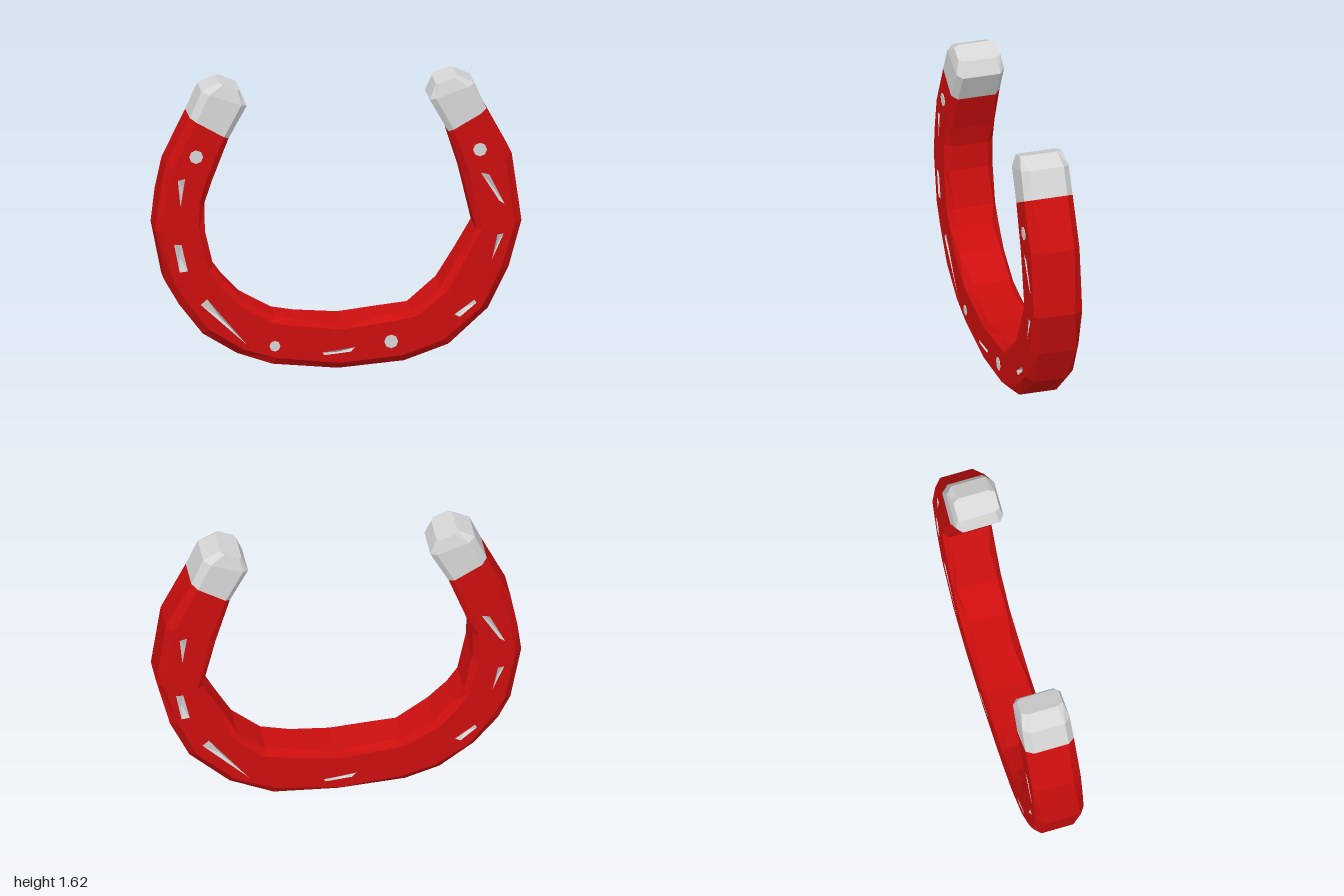
import * as THREE from 'three';

const red = new THREE.MeshStandardMaterial({ color: 0xcc0e0e, flatShading: true });
red.name = 'red paint';
const steel = new THREE.MeshStandardMaterial({ color: 0xd6d6d6, flatShading: true, side: THREE.DoubleSide });
steel.name = 'bare steel';

const HALF = 0.137; // half thickness of the magnet

// stations along the U: outer x, outer y, inner x, inner y
const bodyStations = [
  [-0.81, 1.43, -0.60, 1.31], [-0.94, 1.17, -0.69, 1.08], [-0.975, 0.99, -0.73, 0.95],
  [-1.0, 0.81, -0.73, 0.80], [-0.94, 0.51, -0.68, 0.59], [-0.87, 0.39, -0.62, 0.51],
  [-0.74, 0.22, -0.52, 0.40], [-0.55, 0.10, -0.34, 0.30], [-0.36, 0.04, -0.22, 0.285],
  [0, 0, 0.02, 0.26], [0.36, 0.03, 0.24, 0.29], [0.60, 0.12, 0.40, 0.31],
  [0.82, 0.31, 0.56, 0.44], [0.93, 0.54, 0.66, 0.61], [1.0, 0.80, 0.75, 0.76],
  [0.95, 1.17, 0.68, 1.06], [0.81, 1.43, 0.60, 1.31],
];
const leftTip = [[-0.65, 1.62, -0.535, 1.575], [-0.745, 1.575, -0.50, 1.49], bodyStations[0]];
const rightTip = leftTip.map(([a, b, c, d]) => [-a, b, -c, d]).reverse();

// chamfered section: position from outer to inner edge, and z as part of HALF
const section = [
  [0, -0.72], [0, 0.72], [0.15, 1], [0.87, 1], [1, 0.78], [1, -0.78], [0.87, -1], [0.15, -1],
];
const FLAT = [2, 6]; // section strips forming the front and back faces

function point(s, t, z) {
  return [s[0] + (s[2] - s[0]) * t, s[1] + (s[3] - s[1]) * t, z];
}

function trianglesToGeometry(positions) {
  const g = new THREE.BufferGeometry();
  g.setAttribute('position', new THREE.Float32BufferAttribute(positions.flat(), 3));
  g.computeVertexNormals();
  return g;
}

// skin a row of stations; wobble varies the hand-hammered edge chamfers
function loft(stations, { skip = [], wobble = 0, endScale = () => 1, capStart = false, capEnd = false }) {
  const n = section.length;
  const rings = stations.map((s, i) => section.map(([t, z], j) => {
    const w = FLAT.some((f) => j === f || j === f + 1) ? 0 : wobble * Math.sin(i * 2.3 + j * 1.7);
    // both legs end on an unwobbled ring so the tips meet cleanly
    const edge = i === 0 || i === stations.length - 1 ? 0 : w;
    return point(s, t, z * HALF * endScale(i) + edge);
  }));
  const out = [];
  for (let i = 0; i < rings.length - 1; i++) {
    for (let j = 0; j < n; j++) {
      if (skip.includes(j)) continue;
      const a = rings[i][j], b = rings[i][(j + 1) % n];
      const c = rings[i + 1][j], d = rings[i + 1][(j + 1) % n];
      if ((i + j) % 2) out.push(a, c, b, b, c, d);
      else out.push(a, c, d, a, d, b);
    }
  }
  for (let j = 1; j < n - 1; j++) {
    const last = rings[rings.length - 1];
    if (capStart) out.push(rings[0][0], rings[0][j], rings[0][j + 1]);
    if (capEnd) out.push(last[0], last[j + 1], last[j]);
  }
  return trianglesToGeometry(out);
}

// chips in the paint: outline, and the deepest point inside it
const chips = [
  { outline: [[-0.88, 1.09], [-0.84, 1.10], [-0.865, 0.94]], deep: [-0.85, 1.04] },
  { outline: [[-0.90, 0.73], [-0.86, 0.73], [-0.825, 0.58], [-0.87, 0.575]], deep: [-0.87, 0.66] },
  { outline: [[-0.755, 0.39], [-0.72, 0.42], [-0.50, 0.155]], deep: [-0.65, 0.315] },
  { outline: [[-0.09, 0.10], [0.09, 0.125], [0.065, 0.10], [-0.08, 0.085]], deep: [0, 0.097] },
  { outline: [[0.63, 0.29], [0.74, 0.37], [0.75, 0.35], [0.66, 0.275]], deep: [0.69, 0.325] },
  { outline: [[0.835, 0.59], [0.865, 0.73], [0.90, 0.735]], deep: [0.868, 0.68] },
  { outline: [[0.775, 1.08], [0.82, 1.07], [0.905, 0.90], [0.875, 0.92]], deep: [0.825, 1.02] },
];

// one flat face with its chips; mirror is -1 for the face turned to the back
function buildFace(mirror, name) {
  const face = new THREE.Group();
  face.name = name;
  const edge = (t) => bodyStations.map((s) => point(s, t, 0)).map(([x, y]) => new THREE.Vector2(x * mirror, y));
  const shape = new THREE.Shape([...edge(0.15), ...edge(0.87).reverse()]);
  const dents = [];
  for (const { outline, deep } of chips) {
    shape.holes.push(new THREE.Path(outline.map(([x, y]) => new THREE.Vector2(x, y))));
    outline.forEach((p, i) => {
      const q = outline[(i + 1) % outline.length];
      dents.push([...q, HALF], [...p, HALF], [...deep, HALF - 0.018]);
    });
  }
  const plate = new THREE.Mesh(new THREE.ShapeGeometry(shape), red);
  plate.name = 'flatFace';
  plate.position.z = HALF;
  const dentMesh = new THREE.Mesh(trianglesToGeometry(dents), steel);
  dentMesh.name = 'paintChips';
  face.add(plate, dentMesh);
  if (mirror < 0) face.rotation.y = Math.PI;
  return face;
}

export function createModel() {
  const magnet = new THREE.Group();
  magnet.name = 'horseshoeMagnet';
  const add = (name, geometry, material) => {
    const m = new THREE.Mesh(geometry, material);
    m.name = name;
    magnet.add(m);
    return m;
  };

  // red curved bar: rim and chamfers, then the two flat faces
  add('curvedBar', loft(bodyStations, { skip: FLAT, wobble: 0.014 }), red);
  magnet.add(buildFace(1, 'frontFace'), buildFace(-1, 'backFace'));

  // bare steel poles
  add('rightPole', loft(leftTip, { endScale: (i) => [0.86, 0.98, 1][i], capStart: true }), steel);
  add('leftPole', loft(rightTip, { endScale: (i) => [1, 0.98, 0.86][i], capEnd: true }), steel);

  // round spots on the front
  for (const [x, y, r] of [[-0.78, 1.22, 0.038], [0.77, 1.21, 0.038], [-0.35, 0.145, 0.03], [0.285, 0.15, 0.038]]) {
    const spot = add('roundSpot', new THREE.CylinderGeometry(r, r, 0.004, 8), steel);
    spot.rotation.x = Math.PI / 2;
    spot.position.set(x, y, HALF + 0.001);
  }
  return magnet;
}
